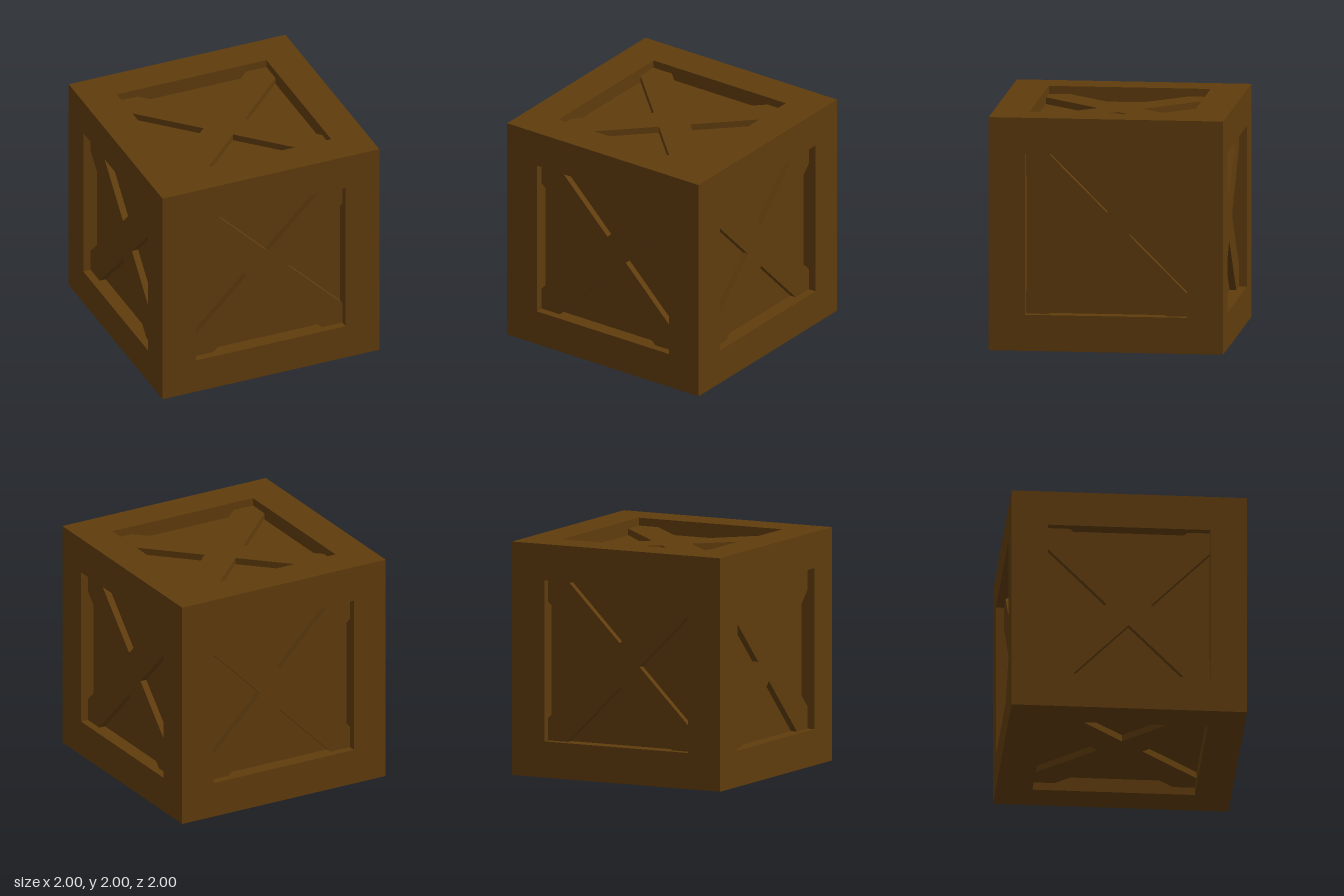
import * as THREE from 'three';

export function createModel() {
  const wood = new THREE.MeshStandardMaterial({ color: 0x5f3c0d });
  wood.name = 'brown wood';

  const half = 1, inner = 0.69;          // outer half size, half size of the openings
  const beam = half - inner;             // square beam thickness
  const mid = half - beam / 2;           // beam centre line
  const panel = 0.875, brace = 0.932;    // distances of panel and brace faces from the centre
  const notch = 0.19;                    // half width of the cross, measured along an axis

  const crate = new THREE.Group();
  crate.name = 'crate';
  const add = (parent, name, geometry, x = 0, y = 0, z = 0) => {
    const mesh = new THREE.Mesh(geometry, wood);
    mesh.name = name;
    mesh.position.set(x, y, z);
    parent.add(mesh);
    return mesh;
  };

  // Inner box whose faces are the recessed panels
  add(crate, 'panels', new THREE.BoxGeometry(panel * 2, panel * 2, panel * 2));

  // Frame: four full-height posts, with rails fitted between them
  const frame = new THREE.Group();
  frame.name = 'frame';
  crate.add(frame);
  const post = new THREE.BoxGeometry(beam, half * 2, beam);
  const railX = new THREE.BoxGeometry(inner * 2, beam, beam);
  const railZ = new THREE.BoxGeometry(beam, beam, inner * 2);
  for (const a of [-mid, mid]) {
    for (const b of [-mid, mid]) {
      add(frame, 'cornerPost', post, a, 0, b);
      add(frame, 'crossRail', railX, 0, a, b);
      add(frame, 'sideRail', railZ, a, b, 0);
    }
  }

  // Diagonal cross, trimmed to the square opening
  const points = [];
  for (let i = 0; i < 4; i++) {
    const corner = [[notch, 0], [inner, inner - notch], [inner, inner], [inner - notch, inner]];
    for (const [x, y] of corner) {
      points.push(new THREE.Vector2(x, y).rotateAround(new THREE.Vector2(), i * Math.PI / 2));
    }
  }
  const sunk = 0.02;
  const cross = new THREE.ExtrudeGeometry(new THREE.Shape(points), {
    depth: brace - panel + sunk, bevelEnabled: false,
  });
  cross.translate(0, 0, panel - sunk);

  // One cross on each of the six faces
  const q = Math.PI / 2;
  const faces = {
    front: [0, 0], left: [0, q], back: [0, 2 * q], right: [0, -q], top: [-q, 0], bottom: [q, 0],
  };
  for (const [name, [rx, ry]] of Object.entries(faces)) {
    add(crate, name + 'CrossBrace', cross).rotation.set(rx, ry, 0);
  }

  crate.position.y = half;
  const model = new THREE.Group();
  model.name = 'woodenCrate';
  model.add(crate);
  return model;
}
